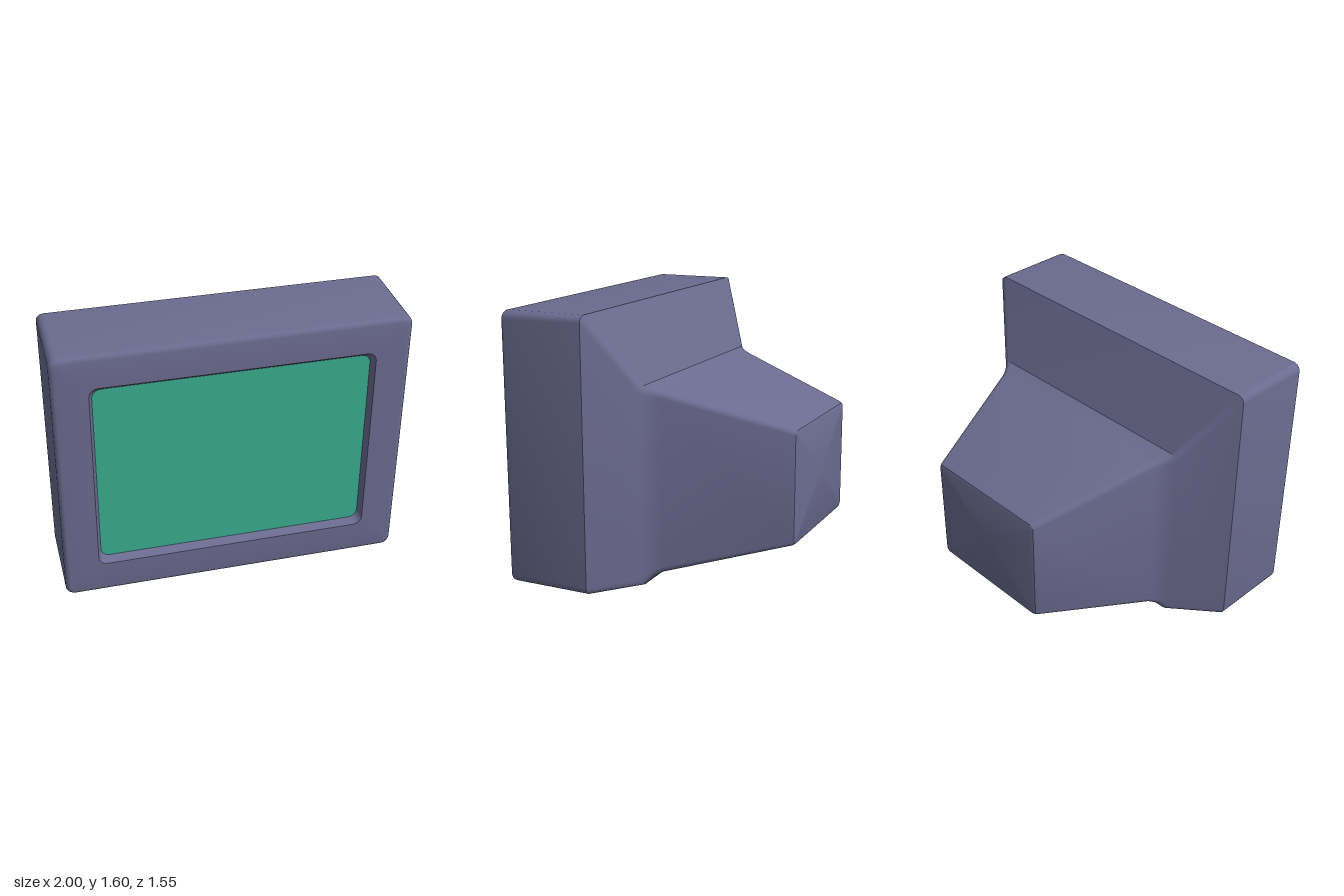
import * as THREE from 'three';
import { toCreasedNormals } from 'three/addons/utils/BufferGeometryUtils.js';

const STEPS = 5; // segments per rounded corner

// Counter-clockwise rounded rectangle, half width w, from height y0 to y1
function roundedLoop(w, y0, y1, r) {
  const corners = [[w - r, y1 - r], [r - w, y1 - r], [r - w, y0 + r], [w - r, y0 + r]];
  const points = [];
  corners.forEach(([cx, cy], q) => {
    for (let i = 0; i <= STEPS; i++) {
      const a = (q + i / STEPS) * Math.PI / 2;
      points.push(new THREE.Vector2(cx + r * Math.cos(a), cy + r * Math.sin(a)));
    }
  });
  return points;
}

// Skin over successive sections [z, w, y0, y1, r], closed by a flat cap at the end
function loft(sections) {
  const positions = [], index = [];
  const n = 4 * (STEPS + 1);
  for (const [z, w, y0, y1, r] of sections) {
    for (const p of roundedLoop(w, y0, y1, r)) positions.push(p.x, p.y, z);
  }
  const [zEnd, , yLow, yHigh] = sections[sections.length - 1];
  const centre = positions.length / 3;
  positions.push(0, (yLow + yHigh) / 2, zEnd);
  for (let s = 0; s < sections.length; s++) {
    for (let j = 0; j < n; j++) {
      const a = s * n + j, b = s * n + (j + 1) % n;
      if (s === sections.length - 1) index.push(a, centre, b);
      else index.push(a, a + n, b, b, a + n, b + n);
    }
  }
  const geometry = new THREE.BufferGeometry();
  geometry.setAttribute('position', new THREE.Float32BufferAttribute(positions, 3));
  geometry.setIndex(index);
  return toCreasedNormals(geometry, 0.5);
}

export function createModel() {
  const casingMaterial = new THREE.MeshStandardMaterial({ color: 0x6b6b90 });
  casingMaterial.name = 'slate violet casing';
  const screenMaterial = new THREE.MeshStandardMaterial({ color: 0x3bac90 });
  screenMaterial.name = 'green screen';

  const group = new THREE.Group();
  group.name = 'monitor';

  const sections = [
    // sloping recess wall around the screen
    [0.735, 0.78, 0.23, 1.37, 0.05],
    [0.775, 0.80, 0.20, 1.40, 0.05],
  ];
  // rounded front edge of the bezel
  const edge = 0.03;
  for (let i = 0; i <= 4; i++) {
    const a = (i / 4) * Math.PI / 2;
    const inset = edge * (1 - Math.sin(a));
    sections.push([0.775 - edge * (1 - Math.cos(a)), 1 - inset, inset, 1.6 - inset, 0.05 - inset * 0.6]);
  }
  sections.push(
    // end of the straight front box
    [0.26, 1.00, 0.00, 1.60, 0.04],
    // shoulder and blend into the tube housing
    [0.04, 0.735, 0.00, 1.18, 0.04],
    [0.00, 0.695, 0.045, 1.165, 0.04],
    [-0.05, 0.667, 0.07, 1.15, 0.04],
    // tapered housing with a softened rear edge
    [-0.755, 0.42, 0.26, 0.945, 0.03],
    [-0.768, 0.412, 0.268, 0.937, 0.028],
    [-0.775, 0.395, 0.285, 0.92, 0.02],
  );
  const casing = new THREE.Mesh(loft(sections), casingMaterial);
  casing.name = 'casing';
  group.add(casing);

  // flat screen at the bottom of the recess
  const shape = new THREE.Shape(roundedLoop(0.78, 0.23, 1.37, 0.05));
  const screen = new THREE.Mesh(new THREE.ShapeGeometry(shape), screenMaterial);
  screen.name = 'screen';
  screen.position.z = 0.735;
  group.add(screen);

  return group;
}
